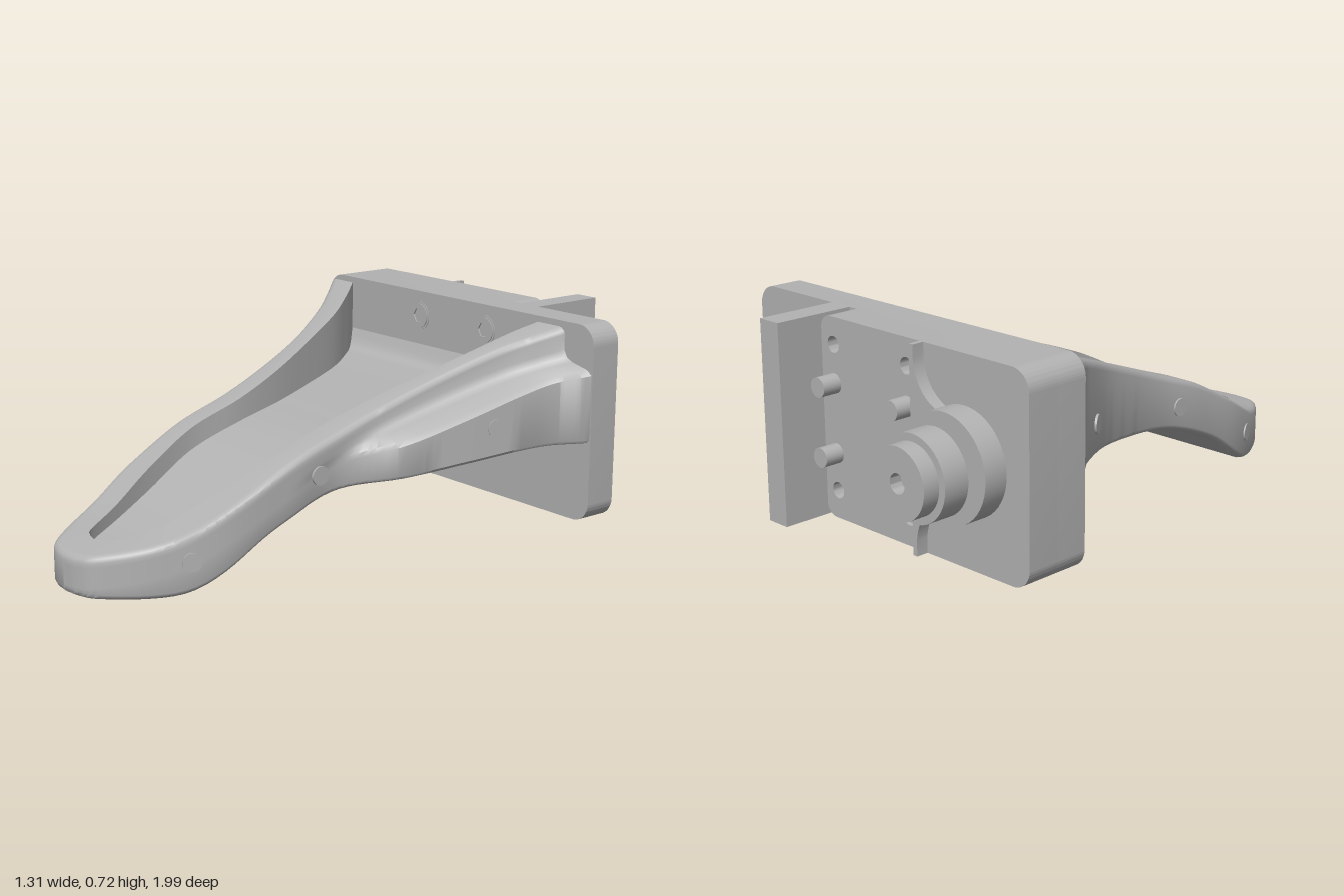
import * as THREE from 'three';
import { toCreasedNormals } from 'three/addons/utils/BufferGeometryUtils.js';

const grey = new THREE.MeshStandardMaterial({ color: 0xb2b2b2 });
grey.name = 'plain grey';

// Smooth height curve through [z, y] points, z falling
function heightCurve(pts) {
  const slope = (i) => {
    const a = pts[Math.max(i - 1, 0)], b = pts[Math.min(i + 1, pts.length - 1)];
    return (b[1] - a[1]) / (b[0] - a[0]);
  };
  return (z) => {
    let i = 0;
    while (i < pts.length - 2 && z < pts[i + 1][0]) i++;
    const [z0, y0] = pts[i], [z1, y1] = pts[i + 1], d = z1 - z0;
    const t = THREE.MathUtils.clamp((z - z0) / d, 0, 1), u = 1 - t;
    return y0 * (1 + 2 * t) * u * u + y1 * t * t * (3 - 2 * t) + d * t * u * (slope(i) * u - slope(i + 1) * t);
  };
}

const rimY = heightCurve([[1, 0.128], [0.755, 0.18], [0.57, 0.27], [0.38, 0.365], [0.19, 0.433], [-0.17, 0.564], [-0.53, 0.695]]);
const bottomY = heightCurve([[1, 0.002], [0.78, 0], [0.7, 0.015], [0.62, 0.055], [0.46, 0.155], [0.25, 0.235], [0, 0.275], [-0.53, 0.335]]);
const floorY = heightCurve([[0.885, 0.11], [0.74, 0.14], [0.57, 0.2], [0.39, 0.29], [0.2, 0.355], [0, 0.39], [-0.44, 0.455], [-0.5, 0.475], [-0.53, 0.53]]);

// Plan curves from the plate to the tip, [half width, z], sharing one parameter
function rail(pts) {
  const v = pts.map(([x, z]) => new THREE.Vector3(x, 0, z));
  return new THREE.CatmullRomCurve3(v, false, 'catmullrom', 0.5);
}
const outerNose = [[0.32, 0.2], [0.317, 0.4], [0.295, 0.61], [0.215, 0.81], [0.12, 0.945], [0.06, 0.98], [0, 0.99]];
const innerNose = [[0.22, 0.2], [0.22, 0.39], [0.185, 0.57], [0.125, 0.74], [0.07, 0.85], [0.035, 0.876], [0, 0.885]];
const rails = {
  outerRight: rail([[0.65, -0.53], [0.58, -0.45], [0.5, -0.345], [0.4, -0.16], [0.345, 0.03], ...outerNose]),
  innerRight: rail([[0.53, -0.53], [0.465, -0.45], [0.385, -0.33], [0.31, -0.15], [0.25, 0.03], ...innerNose]),
  outerLeft: rail([[0.53, -0.53], [0.48, -0.45], [0.425, -0.345], [0.37, -0.16], [0.335, 0.03], ...outerNose]),
  innerLeft: rail([[0.41, -0.53], [0.375, -0.45], [0.34, -0.33], [0.29, -0.15], [0.245, 0.03], ...innerNose]),
  skirt: rail([[0.65, -0.53], [0.575, -0.45], [0.535, -0.345], [0.49, -0.16], [0.43, 0.03], ...outerNose]),
};

// One closed cross-section of the tray at parameter t
function traySection(t) {
  const at = (name) => rails[name].getPoint(t);
  const pts = [];
  const add = (p, y, side) => pts.push([p.x * side, y, p.z]);
  const inset = (p, q, f) => p.clone().lerp(q, f);
  // quarter-round edge, from wall (0) to flat (1)
  const round = (p, q, y, dy, side, toFlat) => {
    for (let k = 0; k <= 3; k++) {
      const a = ((toFlat ? k : 3 - k) / 3) * Math.PI / 2;
      add(inset(p, q, 0.24 * (1 - Math.cos(a))), y - dy * (1 - Math.sin(a)), side);
    }
  };
  const oR = at('outerRight'), iR = at('innerRight');
  const oL = at('outerLeft'), iL = at('innerLeft'), sk = at('skirt');
  const top = rimY(oR.z), low = bottomY(oR.z);
  // right wall and rim
  round(oR, iR, low, -0.018, -1, false);
  round(oR, iR, top, 0.022, -1, true);
  add(iR, rimY(iR.z), -1);
  add(iR, floorY(iR.z), -1);
  // floor across to the left rim
  add(iL, floorY(iL.z), 1);
  add(iL, rimY(iL.z), 1);
  round(oL, iL, top, 0.022, 1, false);
  // hollow and stepped-out skirt on the left
  const ledge = Math.min(0.423 - 0.315 * oL.z, top - 0.07);
  add(oL, ledge + 0.035, 1);
  add(inset(oL, sk, 0.1), ledge + 0.012, 1);
  add(inset(oL, sk, 0.3), ledge, 1);
  add(inset(oL, sk, 0.85), ledge - 0.015, 1);
  add(sk, ledge - 0.03, 1);
  round(sk, iL, low, -0.018, 1, true);
  return pts;
}

function trayGeometry() {
  const steps = 77, pos = [], index = [];
  let n = 0;
  for (let i = 0; i <= steps; i++) {
    const section = traySection(i / steps);
    n = section.length;
    section.forEach((p) => pos.push(...p));
  }
  for (let i = 0; i < steps; i++) {
    for (let j = 0; j < n; j++) {
      const k = (j + 1) % n, a = i * n + j, b = i * n + k, c = b + n, d = a + n;
      index.push(a, d, c, a, c, b);
    }
  }
  const g = new THREE.BufferGeometry();
  g.setAttribute('position', new THREE.Float32BufferAttribute(pos, 3));
  g.setIndex(index);
  return toCreasedNormals(g, 0.6);
}

// Rectangle with its own corner radius on each side
function plateShape(x0, x1, y0, y1, r0, r1) {
  const s = new THREE.Shape();
  s.absarc(x1 - r1, y0 + r1, r1, -Math.PI / 2, 0);
  s.absarc(x1 - r1, y1 - r1, r1, 0, Math.PI / 2);
  s.absarc(x0 + r0, y1 - r0, r0, Math.PI / 2, Math.PI);
  s.absarc(x0 + r0, y0 + r0, r0, Math.PI, Math.PI * 1.5);
  return s;
}

function circlePath(x, y, r) {
  return new THREE.Path().absarc(x, y, r, 0, Math.PI * 2, true);
}

export function createModel() {
  const model = new THREE.Group();
  const add = (name, geometry, x = 0, y = 0, z = 0) => {
    const m = new THREE.Mesh(geometry, grey);
    m.name = name;
    m.position.set(x, y, z);
    model.add(m);
    return m;
  };
  const extrude = (name, shape, z0, z1) => {
    const g = new THREE.ExtrudeGeometry(shape, { depth: z1 - z0, bevelEnabled: false, curveSegments: 12 });
    return add(name, toCreasedNormals(g, 0.6), 0, 0, z0);
  };

  add('tray', trayGeometry());

  // Mounting plate, thick block with blind holes, and fin
  extrude('mountingPlate', plateShape(-0.655, 0.655, 0.08, 0.715, 0.065, 0.065), -0.64, -0.53);
  const block = plateShape(-0.655, 0.217, 0.08, 0.715, 0.065, 0.04);
  for (const x of [-0.163, 0.163]) {
    for (const y of [0.17, 0.63]) block.holes.push(circlePath(x, y, 0.026));
  }
  extrude('rearBlock', block, -0.75, -0.64);
  add('fin', new THREE.BoxGeometry(0.083, 0.635, 0.28), 0.2585, 0.3975, -0.77);

  // Locating pegs and front screws
  for (const x of [-0.163, 0.163]) {
    for (const y of [0.29, 0.51]) {
      add('peg', new THREE.CylinderGeometry(0.031, 0.031, 0.07, 24), x, y, -0.78).rotation.x = Math.PI / 2;
    }
    const washer = new THREE.Shape().absarc(x, 0.63, 0.05, 0, Math.PI * 2);
    const head = new THREE.Shape().absarc(x, 0.63, 0.043, 0, Math.PI * 2);
    const hex = new THREE.Path();
    hex.setFromPoints([0, 1, 2, 3, 4, 5].map((k) => {
      const a = -k * Math.PI / 3;
      return new THREE.Vector2(x + 0.026 * Math.cos(a), 0.63 + 0.026 * Math.sin(a));
    }));
    washer.holes.push(hex);
    head.holes.push(hex);
    extrude('screwWasher', washer, -0.53, -0.528);
    extrude('screwHead', head, -0.53, -0.525);
  }

  // Stepped hub with a socket
  const profile = [[0.165, 0], [0.165, 0.08], [0.093, 0.08], [0.093, 0.11], [0.13, 0.11], [0.13, 0.195],
    [0.107, 0.195], [0.107, 0.25], [0.03, 0.25], [0.03, 0.21], [0, 0.21]];
  const hub = new THREE.LatheGeometry(profile.map(([r, h]) => new THREE.Vector2(r, h)), 48);
  add('hub', toCreasedNormals(hub, 0.6), -0.403, 0.4, -0.75).rotation.x = -Math.PI / 2;

  // Rib beside the hub, with curved webs running into it
  const rib = new THREE.Shape();
  rib.moveTo(-0.222, 0.08);
  rib.lineTo(-0.222, 0.715);
  rib.lineTo(-0.238, 0.715);
  rib.lineTo(-0.238, 0.67);
  rib.quadraticCurveTo(-0.25, 0.57, -0.345, 0.54);
  rib.lineTo(-0.345, 0.26);
  rib.quadraticCurveTo(-0.25, 0.23, -0.238, 0.13);
  rib.lineTo(-0.238, 0.08);
  extrude('hubRib', rib, -0.79, -0.75);

  // Round side ports, each lying on the wall
  const port = new THREE.CylinderGeometry(0.03, 0.03, 0.008, 24);
  const up = new THREE.Vector3(0, 1, 0);
  const ports = [[-0.454, 0.408, -0.26, -0.54], [0.513, 0.408, -0.26, 0.24]];
  for (const s of [-1, 1]) ports.push([s * 0.32, 0.308, 0.28, 0], [s * 0.262, 0.108, 0.71, s * 0.4]);
  for (const [x, y, z, lean] of ports) {
    const normal = new THREE.Vector3(Math.sign(x), 0, Math.abs(lean)).normalize();
    add('sidePort', port, x, y, z).quaternion.setFromUnitVectors(up, normal);
  }
  return model;
}
